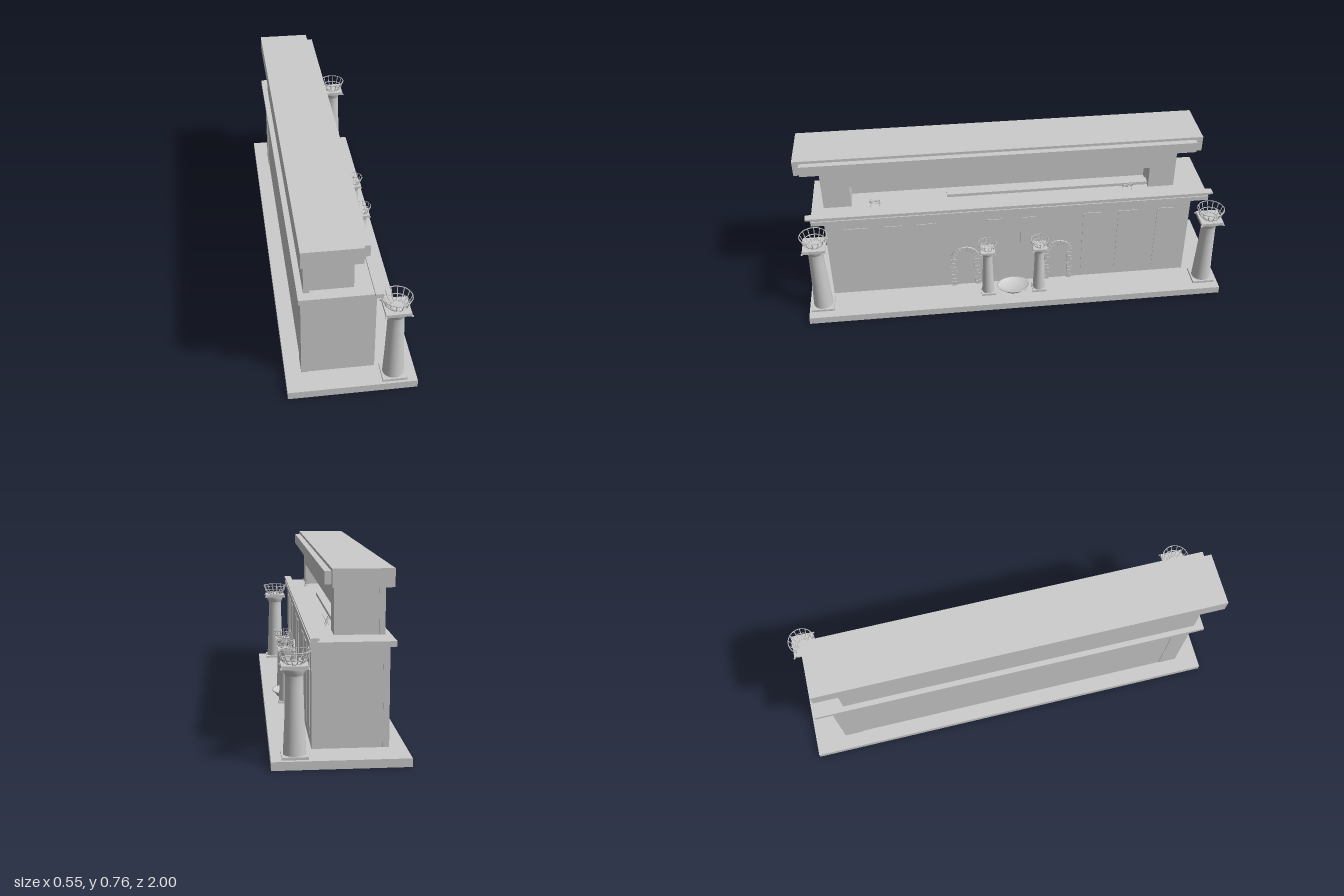
import * as THREE from 'three';

const mat = new THREE.MeshStandardMaterial({ color: 0xcccccc, side: THREE.DoubleSide });

function add(parent, name, geometry) {
  const mesh = new THREE.Mesh(geometry, mat);
  mesh.name = name;
  parent.add(mesh);
  return mesh;
}

// box given by its limits on each axis
function slab(parent, name, x0, x1, y0, y1, z0, z1) {
  const mesh = add(parent, name, new THREE.BoxGeometry(x1 - x0, y1 - y0, z1 - z0));
  mesh.position.set((x0 + x1) / 2, (y0 + y1) / 2, (z0 + z1) / 2);
  return mesh;
}

const lathe = (points, sides = 32) =>
  new THREE.LatheGeometry(points.map(([r, y]) => new THREE.Vector2(r, y)), sides);

// open wire bowl of rings and bent ribs
function fireBasket(r, h) {
  const g = new THREE.Group();
  g.name = 'fireBasket';
  const wire = r * 0.035;
  for (const [k, y] of [[0.55, 0.05], [0.82, 0.4], [1, 1]]) {
    const ring = add(g, 'basketRing', new THREE.TorusGeometry(r * k, wire, 6, 28));
    ring.rotation.x = Math.PI / 2;
    ring.position.y = y * h;
  }
  const curve = new THREE.CatmullRomCurve3([[0.3, 0], [0.55, 0.05], [0.82, 0.4], [0.92, 0.75], [1, 1]]
    .map(([k, y]) => new THREE.Vector3(k * r, y * h, 0)));
  const rib = new THREE.TubeGeometry(curve, 10, wire, 5);
  for (let i = 0; i < 14; i++) add(g, 'basketRib', rib).rotation.y = (i / 14) * Math.PI * 2;
  add(g, 'basketFoot', new THREE.CylinderGeometry(r * 0.4, r * 0.5, h * 0.1, 16));
  return g;
}

// tapered column with plinth, flared capital, square abacus and basket
function torchColumn(name, x, z, height, r, half, basketR, basketH) {
  const g = new THREE.Group();
  g.name = name;
  g.position.set(x, 0.035, z);
  const h = height - basketH - 0.035;
  slab(g, 'plinth', -half, half, 0, 0.011, -half, half);
  add(g, 'shaft', lathe([[r, 0.011], [r * 0.98, 0.03], [r * 0.86, h * 0.4], [r * 0.77, h * 0.75],
    [r * 0.75, h * 0.87], [r * 0.82, h * 0.89], [r * 0.98, h * 0.93], [r, h * 0.96]]));
  slab(g, 'abacus', -half, half, h * 0.96, h, -half, half);
  for (const sx of [-1, 1]) for (const sz of [-1, 1]) {
    const leaf = add(g, 'cornerLeaf', new THREE.ConeGeometry(half * 0.1, half * 0.28, 5));
    leaf.position.set(sx * half, h * 0.98, sz * half);
    leaf.rotation.set(sz * -0.3, 0, sx * 0.3);
  }
  const basket = fireBasket(basketR, basketH);
  basket.position.y = h;
  g.add(basket);
  return g;
}

// arch of separate stones round a doorway
function doorArch(z) {
  const g = new THREE.Group();
  g.name = 'doorArch';
  g.position.set(0.105, 0, z);
  const spring = 0.2, inner = 0.044, outer = 0.07, rows = 7, stones = 11;
  for (const s of [-1, 1]) for (let i = 0; i < rows; i++) {
    const step = (spring - 0.035) / rows, y = 0.035 + i * step;
    const out = outer - (i % 2) * 0.004;
    slab(g, 'jambStone', 0, 0.011, y, y + step - 0.002, s > 0 ? inner : -out, s > 0 ? out : -inner);
  }
  for (let i = 0; i < stones; i++) {
    const a0 = (i / stones) * Math.PI + 0.012, a1 = ((i + 1) / stones) * Math.PI - 0.012;
    const shape = new THREE.Shape();
    shape.absarc(0, 0, outer, a0, a1, false);
    shape.absarc(0, 0, inner, a1, a0, true);
    const stone = add(g, 'archStone',
      new THREE.ExtrudeGeometry(shape, { depth: 0.011, bevelEnabled: false, curveSegments: 3 }));
    stone.rotation.y = Math.PI / 2;
    stone.position.y = spring;
  }
  return g;
}

// small raking lamp on the terrace
function terraceLamp(z) {
  const g = new THREE.Group();
  g.name = 'terraceLamp';
  g.position.set(0.013, 0.485, z);
  const bar = (name, pts) => add(g, name, new THREE.TubeGeometry(
    new THREE.CatmullRomCurve3(pts.map(p => new THREE.Vector3(...p))), 6, 0.0015, 5));
  for (const s of [-1, 1]) {
    bar('lampLeg', [[0.014, 0, s * 0.022], [0.006, 0.015, s * 0.02], [0, 0.036, s * 0.016]]);
    bar('lampArm', [[0, 0.006, s * 0.018], [0.008, 0.02, s * 0.02], [0.02, 0.038, s * 0.025]]);
  }
  for (let i = 0; i < 4; i++) {
    const t = i / 3;
    bar('lampSlat', [[0.004 + t * 0.016, 0.012 + t * 0.026, -0.025], [0.004 + t * 0.016, 0.014 + t * 0.026, 0.025]]);
  }
  return g;
}

export function createModel() {
  const model = new THREE.Group();
  model.name = 'building';

  // plinth and lower storey
  slab(model, 'base', -0.275, 0.275, 0, 0.035, -1, 1);
  slab(model, 'lowerStorey', -0.203, 0.108, 0.035, 0.463, -0.85, 0.887);
  slab(model, 'backPilaster', -0.206, -0.18, 0.035, 0.463, -0.852, -0.76);
  slab(model, 'backPilaster', -0.206, -0.18, 0.035, 0.463, 0.8, 0.889);
  slab(model, 'terrace', -0.22, 0.12, 0.463, 0.485, -0.93, 0.946);

  // shallow panels along the facade
  const panels = [[0.69, 0.8], [0.53, 0.62], [0.37, 0.46], [0.06, 0.13],
    [-0.1, -0.03], [-0.42, -0.33], [-0.6, -0.5], [-0.78, -0.69]];
  for (const [z0, z1] of panels) slab(model, 'facadePanel', 0.1, 0.111, 0.075, 0.425, z0, z1);

  // parapet on the terrace edge
  slab(model, 'parapetFoot', 0.09, 0.115, 0.485, 0.495, -0.93, 0.946);
  slab(model, 'parapetRail', 0.085, 0.12, 0.495, 0.504, -0.95, 0.97);

  // upper storey: back wall, long opening, step inside
  slab(model, 'rearPanel', -0.195, -0.17, 0.395, 0.69, -0.79, 0.903);
  slab(model, 'upperBackWall', -0.19, -0.09, 0.485, 0.69, -0.77, 0.88);
  slab(model, 'endPier', -0.17, 0.012, 0.485, 0.69, 0.76, 0.89);
  slab(model, 'endPier', -0.17, 0.012, 0.485, 0.69, -0.785, -0.66);
  slab(model, 'lintel', -0.09, 0.012, 0.595, 0.69, -0.66, 0.76);
  slab(model, 'innerStep', -0.05, -0.01, 0.485, 0.5, -0.66, 0.31);

  // roof with front fascia
  slab(model, 'roof', -0.215, 0.03, 0.69, 0.764, -0.895, 1);
  slab(model, 'fascia', 0.03, 0.058, 0.7, 0.751, -0.862, 0.97);

  for (const z of [0.65, -0.555]) model.add(terraceLamp(z));
  for (const z of [0.24, -0.215]) model.add(doorArch(z));

  // corner columns and the pair beside the basin
  for (const z of [0.935, -0.93]) model.add(torchColumn('cornerColumn', 0.18, z, 0.455, 0.046, 0.053, 0.063, 0.05));
  for (const z of [0.137, -0.113]) model.add(torchColumn('doorColumn', 0.175, z, 0.337, 0.03, 0.034, 0.042, 0.036));

  // oval basin
  const basin = add(model, 'basin', lathe([[0, 0.002], [0.6, 0.002], [0.7, 0.012], [0.98, 0.027],
    [1, 0.031], [0.9, 0.031], [0.62, 0.016], [0, 0.014]], 40));
  basin.scale.set(0.058, 1, 0.082);
  basin.position.set(0.175, 0.035, 0.012);

  return model;
}
